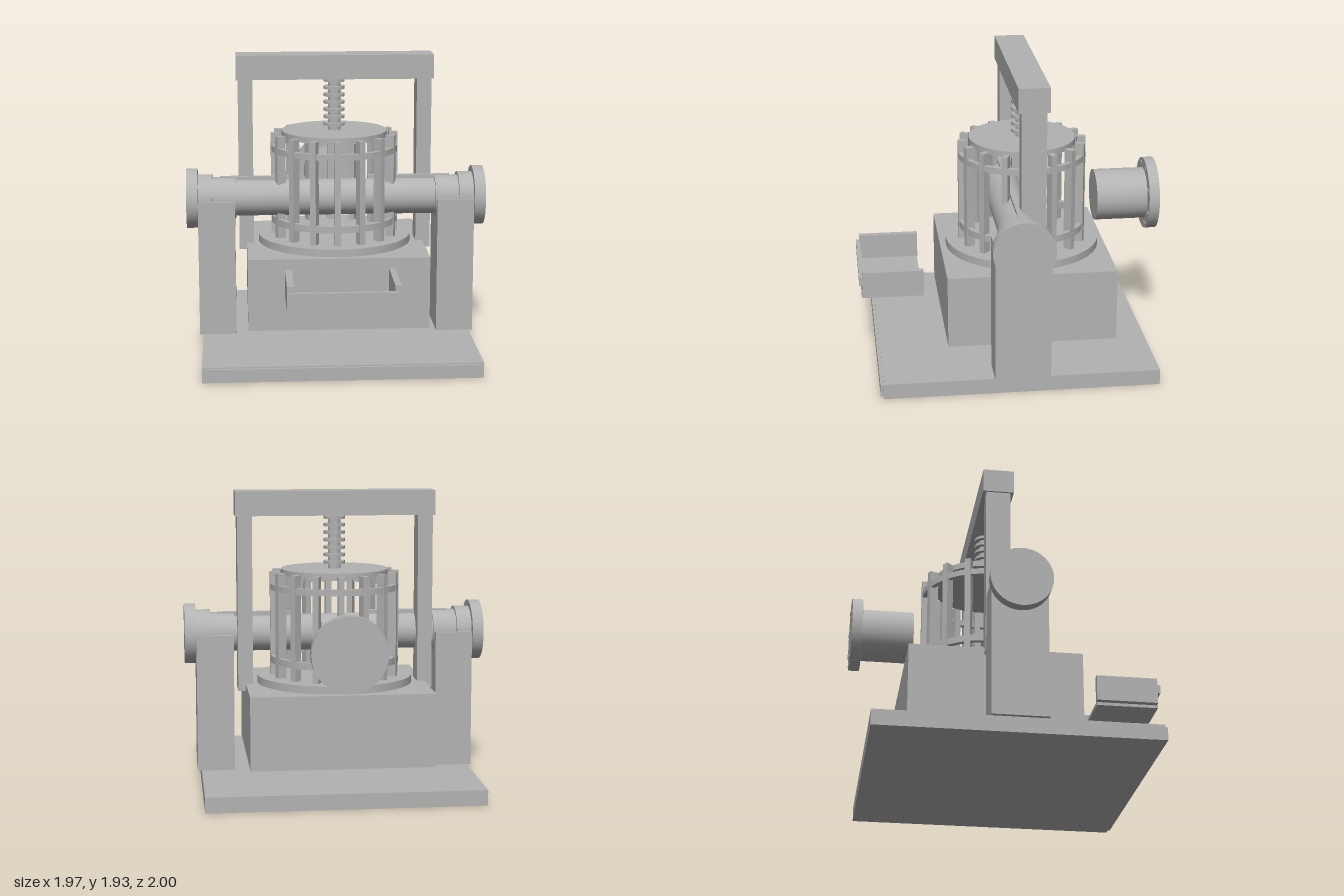
import * as THREE from 'three';

export function createModel() {
  const model = new THREE.Group();
  model.name = 'pressMachine';
  const grey = new THREE.MeshStandardMaterial({ color: 0xb2b2b2 });
  grey.name = 'grey metal';

  function add(name, geometry, parent = model) {
    const mesh = new THREE.Mesh(geometry, grey);
    mesh.name = name;
    parent.add(mesh);
    return mesh;
  }
  // Box given by its limits on each axis
  function box(name, x0, x1, y0, y1, z0, z1, parent) {
    const m = add(name, new THREE.BoxGeometry(x1 - x0, y1 - y0, z1 - z0), parent);
    m.position.set((x0 + x1) / 2, (y0 + y1) / 2, (z0 + z1) / 2);
    return m;
  }
  // Cylinder from a to b along the x, y or z axis, through the point (x, y, z)
  function cyl(name, axis, r, a, b, x, y, z, sides = 48, parent = model) {
    const g = new THREE.CylinderGeometry(r, r, b - a, sides);
    if (axis === 'x') g.rotateZ(-Math.PI / 2);
    if (axis === 'z') g.rotateX(Math.PI / 2);
    const m = add(name, g, parent);
    m.position.set(x, y, z);
    m.position[axis] = (a + b) / 2;
    return m;
  }

  const cageZ = -0.105, pipeY = 0.99;

  // Base plate, front edge strip, main block and turntable
  box('basePlate', -0.885, 0.885, 0, 0.1, -0.89, 0.88);
  box('baseFrontStrip', -0.865, 0.865, 0.01, 0.092, 0.88, 0.9);
  box('mainBlock', -0.59, 0.59, 0.2, 0.675, -0.655, 0.445);
  cyl('turntable', 'y', 0.51, 0.675, 0.725, 0, 0, cageZ, 64);

  // Cross pipe with stepped, flanged ends on two supports
  cyl('crossPipe', 'x', 0.12, -0.7, 0.7, 0, pipeY, 0);
  for (const s of [-1, 1]) {
    const span = (a, b) => (s > 0 ? [a, b] : [-b, -a]);
    const side = s > 0 ? 'left' : 'right';
    box(side + 'Support', ...span(0.667, 0.91), 0.1, 0.995, -0.18, 0.175);
    cyl(side + 'Sleeve', 'x', 0.137, ...span(0.66, 0.82), 0, pipeY, 0);
    cyl(side + 'Collar', 'x', 0.157, ...span(0.815, 0.92), 0, pipeY, 0);
    cyl(side + 'Flange', 'x', 0.197, ...span(0.912, 0.985), 0, pipeY, 0);
    box(side + 'PipeRib', ...span(0.22, 0.765), 1.1, 1.132, -0.03, 0.01);
    box(side + 'Post', ...span(0.543, 0.64), 0.63, 1.775, -0.18, -0.02);
  }
  box('topBeam', -0.652, 0.652, 1.775, 1.935, -0.2, 0);

  // Slatted cage
  const cage = new THREE.Group();
  cage.name = 'cage';
  cage.position.z = cageZ;
  model.add(cage);
  for (let i = 0; i < 16; i++) {
    const pivot = new THREE.Group();
    pivot.name = 'slat';
    pivot.rotation.y = (i / 16) * Math.PI * 2;
    cage.add(pivot);
    box('slatBar', -0.02, 0.02, 0.725, 1.408, 0.365, 0.424, pivot);
  }
  // Hoops with a rectangular section
  for (const [y0, y1] of [[0.81, 0.855], [1.29, 1.33]]) {
    const section = [[0.39, y0], [0.421, y0], [0.421, y1], [0.39, y1], [0.39, y0]];
    for (let i = 0; i < 4; i++) {
      const edge = [section[i], section[i + 1]].map(p => new THREE.Vector2(...p));
      add('hoopFace', new THREE.LatheGeometry(edge, 64), cage);
    }
  }
  cyl('pressPlate', 'y', 0.35, 1.385, 1.425, 0, 0, cageZ, 64);

  // Threaded screw
  cyl('screwCore', 'y', 0.042, 1.42, 1.78, 0, 0, cageZ, 12);
  for (let i = 0; i < 7; i++) {
    const y = 1.465 + i * 0.049;
    cyl('screwThread', 'y', 0.07, y - 0.01, y + 0.01, 0, 0, cageZ, 12);
  }

  // Rear pipe with flange and bolt heads
  cyl('rearPipe', 'z', 0.17, -0.935, -0.59, 0, pipeY, 0);
  cyl('rearFlange', 'z', 0.238, -0.996, -0.927, 0, pipeY, 0);
  for (let i = 0; i < 8; i++) {
    const a = (i + 0.5) * Math.PI / 4;
    cyl('rearBolt', 'z', 0.017, -1, -0.923, Math.cos(a) * 0.205, pipeY + Math.sin(a) * 0.205, 0, 12);
  }

  // Collecting tray with an open top
  const tray = new THREE.Group();
  tray.name = 'tray';
  model.add(tray);
  box('trayFloor', -0.315, 0.315, 0.45, 0.475, 0.585, 0.985, tray);
  box('trayRightWall', -0.355, -0.31, 0.47, 0.64, 0.58, 0.978, tray);
  box('trayLeftWall', 0.31, 0.35, 0.47, 0.64, 0.58, 0.978, tray);
  box('trayFrontLowerRail', -0.31, 0.31, 0.475, 0.545, 0.965, 0.985, tray);
  box('trayFrontUpperRail', -0.34, 0.335, 0.545, 0.602, 0.972, 1, tray);

  return model;
}
